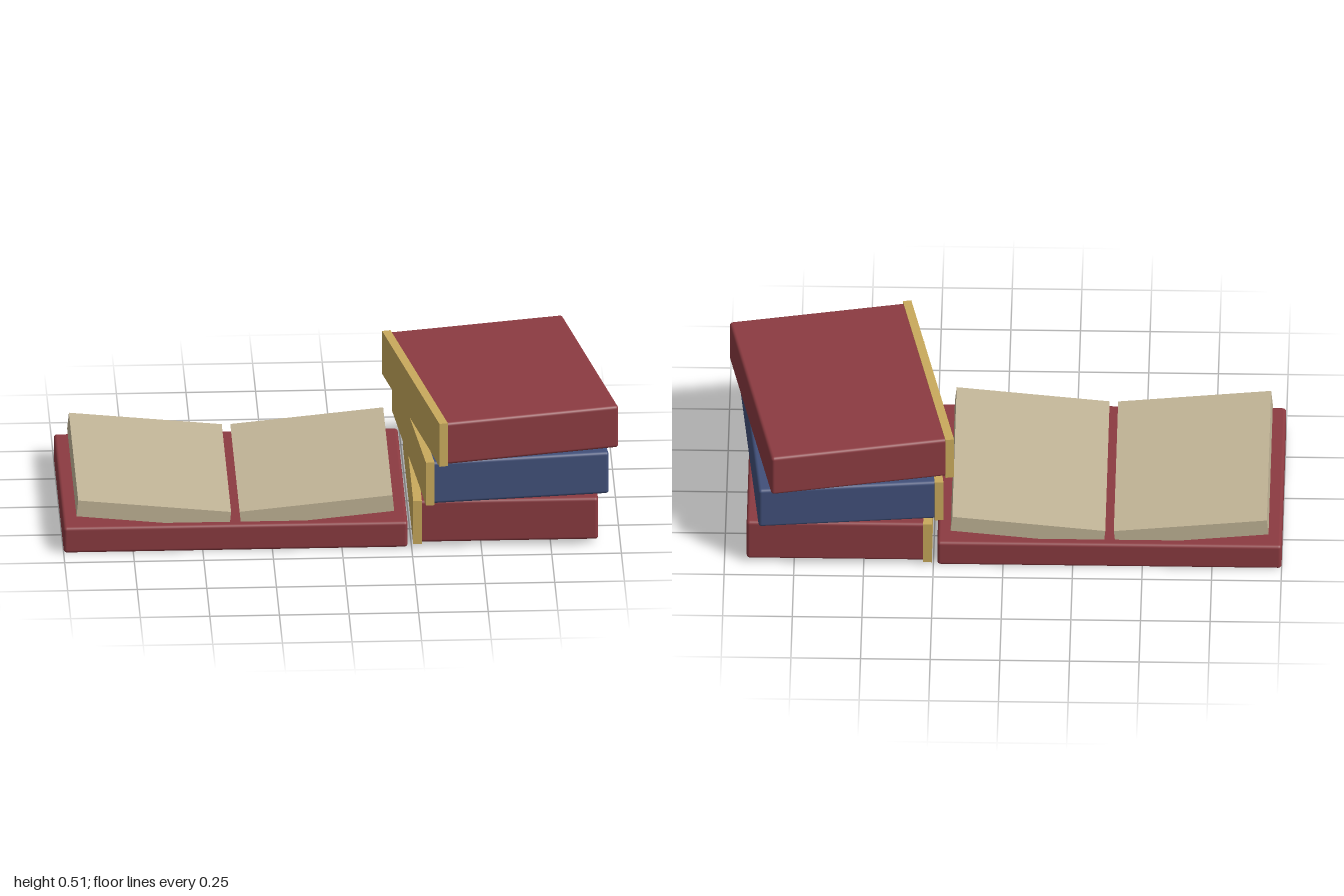
import * as THREE from 'three';
import { RoundedBoxGeometry } from 'three/addons/geometries/RoundedBoxGeometry.js';

const RED = 0x8c3b41, BLUE = 0x41507a, GOLD = 0xc9aa5c, PAPER = 0xc3b698;

function addMesh(parent, name, geometry, color, x, y, z) {
  const mesh = new THREE.Mesh(geometry, new THREE.MeshStandardMaterial({ color }));
  mesh.name = name;
  mesh.position.set(x, y, z);
  parent.add(mesh);
  return mesh;
}

export function createModel() {
  const model = new THREE.Group();
  model.name = 'bookStack';

  // Open book: cover with two page blocks rising outwards from the gutter
  const openBook = new THREE.Group();
  openBook.name = 'openBook';
  openBook.position.set(-0.382, 0, -0.005);
  addMesh(openBook, 'openCover', new RoundedBoxGeometry(1.236, 0.1, 0.846, 3, 0.012), RED, 0, 0.05, 0);
  for (const side of [-1, 1]) {
    const pages = addMesh(openBook, side < 0 ? 'rightPages' : 'leftPages',
      new THREE.BoxGeometry(0.552, 0.062, 0.785), PAPER, side * 0.293, 0.135, 0);
    pages.rotation.z = side * 0.1;
  }
  model.add(openBook);

  // Closed books, each turned a little further than the one below
  [['bottomBook', RED], ['middleBook', BLUE], ['topBook', RED]].forEach(([name, color], i) => {
    const book = new THREE.Group();
    book.name = name;
    book.position.set(0.588, 0.1 + i * 0.163, -0.005);
    book.rotation.y = i * 0.1;
    addMesh(book, 'cover', new RoundedBoxGeometry(0.65, 0.163, 0.846, 3, 0.012), color, 0.0075, 0, 0);
    addMesh(book, 'spine', new THREE.BoxGeometry(0.031, 0.168, 0.856), GOLD, -0.317, 0, 0);
    model.add(book);
  });

  return model;
}
